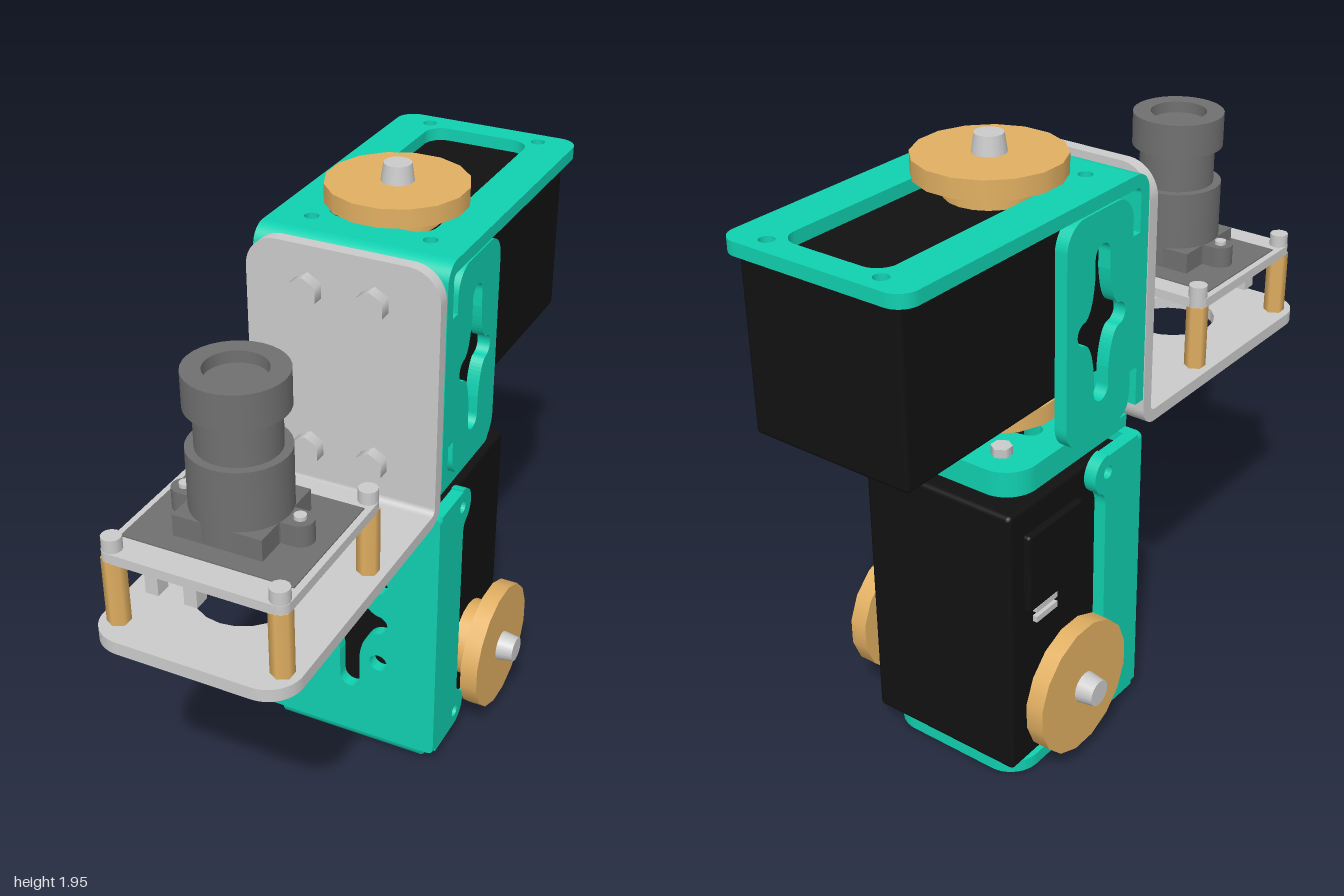
import * as THREE from 'three';
import { RoundedBoxGeometry } from 'three/addons/geometries/RoundedBoxGeometry.js';

const mat = (color) => new THREE.MeshStandardMaterial({ color });
const green = mat(0x10d0b0), black = mat(0x111111), brass = mat(0xe2b062);
const grey = mat(0xcccccc), dark = mat(0x707070);
const CX = -0.015; // centre line of the body

function add(parent, name, geometry, material, x = 0, y = 0, z = 0) {
  const m = new THREE.Mesh(geometry, material);
  m.name = name;
  m.position.set(x, y, z);
  parent.add(m);
  return m;
}

// Box given by its minimum and maximum corners
function block(parent, name, material, a, b, r = 0) {
  const s = a.map((v, i) => b[i] - v), c = a.map((v, i) => (b[i] + v) / 2);
  return add(parent, name, r ? new RoundedBoxGeometry(...s, 2, r) : new THREE.BoxGeometry(...s), material, ...c);
}

// Cylinder along y (or z) from one end to the other
function rod(parent, name, material, r, x, z, y0, y1, sides = 20) {
  return add(parent, name, new THREE.CylinderGeometry(r, r, y1 - y0, sides), material, x, (y0 + y1) / 2, z);
}
function rodZ(parent, name, material, r, x, y, z0, z1, sides = 20) {
  const g = new THREE.CylinderGeometry(r, r, z1 - z0, sides).rotateX(Math.PI / 2);
  return add(parent, name, g, material, x, y, (z0 + z1) / 2);
}

// Rectangle with radii at the low-left, low-right, high-right, high-left corners
function rect(x0, y0, x1, y1, [a, b, c, d], S = THREE.Shape) {
  const s = new S(), q = Math.PI / 2;
  s.moveTo(x0 + a, y0);
  s.lineTo(x1 - b, y0);
  if (b) s.absarc(x1 - b, y0 + b, b, -q, 0);
  s.lineTo(x1, y1 - c);
  if (c) s.absarc(x1 - c, y1 - c, c, 0, q);
  s.lineTo(x0 + d, y1);
  if (d) s.absarc(x0 + d, y1 - d, d, q, 2 * q);
  s.lineTo(x0, y0 + a);
  if (a) s.absarc(x0 + a, y0 + a, a, 2 * q, 3 * q);
  return s;
}

const hole = (x, y, r) => new THREE.Path().absarc(x, y, r, 0, Math.PI * 2);

// Flared cross-shaped slot: half height L, half width H, arm half thickness w
function cross(cx, cy, L, H, w = 0.035) {
  const p = new THREE.Path(), f = Math.min(0.15, L - w);
  const at = (x, y) => [cx + x, cy + y];
  p.moveTo(...at(w, L - w));
  p.absarc(...at(0, L - w), w, 0, Math.PI);
  p.lineTo(...at(-w, f));
  p.quadraticCurveTo(...at(-w * 1.3, w * 1.4), ...at(w - H, w));
  p.absarc(...at(w - H, 0), w, Math.PI / 2, Math.PI * 1.5);
  p.quadraticCurveTo(...at(-w * 1.3, -w * 1.4), ...at(-w, -f));
  p.lineTo(...at(-w, w - L));
  p.absarc(...at(0, w - L), w, Math.PI, Math.PI * 2);
  p.lineTo(...at(w, -f));
  p.quadraticCurveTo(...at(w * 1.3, -w * 1.4), ...at(H - w, -w));
  p.absarc(...at(H - w, 0), w, -Math.PI / 2, Math.PI / 2);
  p.quadraticCurveTo(...at(w * 1.3, w * 1.4), ...at(w, f));
  return p;
}

// Sheet whose high face lies at `top` on the axis; drawn as (x,y), (x,z) or (z,y)
function sheet(parent, name, material, shape, axis, top, holes = [], t = 0.04) {
  shape.holes.push(...holes);
  const g = new THREE.ExtrudeGeometry(shape, { depth: t, bevelEnabled: false, curveSegments: 10 });
  if (axis === 'z') g.translate(0, 0, top - t);
  if (axis === 'y') g.rotateX(Math.PI / 2).translate(0, top, 0);
  if (axis === 'x') g.rotateY(-Math.PI / 2).translate(top, 0, 0);
  return add(parent, name, g, material);
}

// Quarter-round sheet bend running along x, with its axis at (z, y)
function bend(parent, name, material, x0, x1, z, y, start) {
  const s = new THREE.Shape(), a = start * Math.PI / 2, b = a + Math.PI / 2;
  s.absarc(z, y, 0.06, a, b, false);
  s.absarc(z, y, 0.02, b, a, true);
  return sheet(parent, name, material, s, 'x', x1, [], x1 - x0);
}

// Round servo horn with hub and bolt, pointing along local +y
function horn(parent, name, x, y, z, rotZ, hub) {
  const g = new THREE.Group();
  g.name = name;
  g.position.set(x, y, z);
  g.rotation.z = rotZ;
  rod(g, 'hornHub', brass, 0.13, 0, 0, -hub, 0);
  rod(g, 'hornDisc', brass, 0.216, 0, 0, 0, 0.058, 16).rotation.y = Math.PI / 16;
  add(g, 'hornBolt', new THREE.CylinderGeometry(0.042, 0.05, 0.055, 16), grey, 0, 0.085, 0);
  parent.add(g);
}

const four = (dx, dy, cx, cy) => [[-1, -1], [1, -1], [1, 1], [-1, 1]].map(([a, b]) => [cx + a * dx, cy + b * dy]);

// Square flange with cross slot and four holes
function flange(parent, name, top, zFront) {
  sheet(parent, name, green, rect(-0.27, -0.53, 0.24, zFront, [0.1, 0.1, 0, 0]), 'y', top,
    [cross(CX, -0.28, 0.13, 0.16), ...four(0.14, 0.155, CX, -0.28).map(([x, z]) => hole(x, z, 0.025))]);
}

function lowerUnit() {
  const g = new THREE.Group();
  g.name = 'lowerServoUnit';
  block(g, 'servoBody', black, [-0.28, 0.07, -0.565], [0.25, 0.97, -0.03], 0.015);
  block(g, 'servoRearCover', black, [-0.30, 0.62, -0.5], [-0.27, 0.88, -0.24], 0.01);
  for (const dy of [0, 0.035]) block(g, 'servoSocket', grey, [-0.295, 0.565 + dy, -0.46], [-0.275, 0.585 + dy, -0.36]);
  // Front plate, flanges and side strips with rounded screw tabs
  sheet(g, 'frontPlate', green, rect(-0.32, 0.05, 0.29, 0.985, [0.02, 0.02, 0.02, 0.02]), 'z', 0.03,
    [cross(CX, 0.52, 0.285, 0.135), ...four(0.103, 0.155, CX, 0.52).map(([x, y]) => hole(x, y, 0.031))]);
  bend(g, 'bottomBend', green, -0.27, 0.24, -0.03, 0.06, 3);
  flange(g, 'bottomFlange', 0.04, -0.03);
  flange(g, 'topFlange', 1.035, 0.02);
  for (const x of [-0.28, 0.29]) {
    const s = new THREE.Shape();
    s.moveTo(0.01, 0.05);
    s.lineTo(0.01, 0.985);
    s.lineTo(-0.145, 0.985);
    s.absarc(-0.145, 0.925, 0.065, Math.PI / 2, Math.PI * 1.3);
    s.quadraticCurveTo(-0.155, 0.86, -0.155, 0.82);
    s.lineTo(-0.155, 0.22);
    s.quadraticCurveTo(-0.155, 0.18, -0.183, 0.165);
    s.absarc(-0.145, 0.115, 0.065, Math.PI * 0.7, Math.PI * 1.5);
    sheet(g, 'sideStrip', green, s, 'x', x, [hole(-0.145, 0.93, 0.021), hole(-0.145, 0.105, 0.021)]);
  }
  horn(g, 'hornA', 0.317, 0.285, -0.33, -Math.PI / 2, 0.08);
  horn(g, 'hornB', -0.317, 0.285, -0.33, Math.PI / 2, 0.05);
  return g;
}

function upperUnit() {
  const g = new THREE.Group();
  g.name = 'upperServoUnit';
  block(g, 'servoBody', black, [-0.28, 1.25, -0.97], [0.25, 1.775, -0.06], 0.015);
  block(g, 'servoRearCover', black, [-0.22, 1.222, -0.9], [0.19, 1.26, -0.65], 0.01);
  for (const dz of [0, 0.04]) block(g, 'servoSocket', grey, [-0.07, 1.235, -0.6 + dz], [0.04, 1.255, -0.58 + dz]);
  // Top frame with window, back wall, bottom flange
  sheet(g, 'topFrame', green, rect(-0.32, -1, 0.29, -0.03, [0.06, 0.06, 0, 0]), 'y', 1.815,
    [rect(-0.185, -0.92, 0.155, -0.14, [0.06, 0.06, 0.06, 0.06], THREE.Path),
      ...four(0.188, 0.415, CX, -0.525).map(([x, z]) => hole(x, z, 0.022))]);
  bend(g, 'topBend', green, -0.32, 0.29, -0.03, 1.755, 0);
  sheet(g, 'frontWall', green, rect(-0.32, 1.095, 0.29, 1.755, [0, 0, 0, 0]), 'z', 0.03, [cross(CX, 1.43, 0.24, 0.135)]);
  bend(g, 'bottomBend', green, -0.27, 0.24, -0.03, 1.095, 3);
  flange(g, 'bottomFlange', 1.075, -0.03);
  // Slotted side cheeks joined to the wall by a narrow web
  for (const x of [-0.28, 0.29]) {
    sheet(g, 'sideCheek', green, rect(-0.355, 1.08, -0.045, 1.77, [0.08, 0.08, 0.08, 0.08]), 'x', x, [cross(-0.19, 1.43, 0.24, 0.115)]);
    block(g, 'cheekWeb', green, [x - 0.04, 1.22, -0.05], [x, 1.64, 0.02]);
  }
  for (const [x, z] of four(0.14, 0.155, CX, -0.28)) rod(g, 'flangeBolt', grey, 0.032, x, z, 1.03, 1.102, 6);
  horn(g, 'hornTop', CX, 1.835, -0.29, 0, 0.07);
  horn(g, 'hornBottom', CX, 1.203, -0.29, Math.PI, 0.05);
  return g;
}

function cameraMount() {
  const g = new THREE.Group();
  g.name = 'cameraMount';
  const posts = four(0.25, 0.25, CX, 0.66);
  sheet(g, 'mountWall', grey, rect(-0.32, 1.055, 0.29, 1.815, [0, 0, 0.1, 0.1]), 'z', 0.075);
  bend(g, 'mountBend', grey, -0.32, 0.29, 0.095, 1.055, 2);
  sheet(g, 'mountFloor', grey, rect(-0.32, 0.095, 0.29, 1, [0, 0, 0.1, 0.1]), 'y', 1.035, [hole(CX, 0.66, 0.145)]);
  for (const [x, y] of four(0.105, 0.26, CX, 1.425)) {
    rodZ(g, 'mountBolt', grey, 0.048, x, y, 0.07, 0.115, 6);
    rodZ(g, 'mountNut', grey, 0.048, x, y, -0.05, -0.005, 6);
    rodZ(g, 'boltShank', grey, 0.025, x, y, -0.055, 0.1);
  }
  for (const [x, z] of posts) {
    rod(g, 'standoff', brass, 0.034, x, z, 1.035, 1.243, 6);
    rod(g, 'standoffScrew', grey, 0.029, x, z, 0.98, 1.31, 12);
  }
  // Circuit board, dark area and connector underneath
  sheet(g, 'circuitBoard', grey, rect(-0.295, 0.385, 0.265, 0.94, [0.03, 0.03, 0.03, 0.03]), 'y', 1.27, [], 0.03);
  block(g, 'boardArea', dark, [-0.275, 1.262, 0.455], [0.245, 1.274, 0.855]);
  block(g, 'connector', grey, [-0.2, 1.2, 0.82], [-0.04, 1.245, 0.87]);
  for (const x of [-0.2, -0.08]) block(g, 'connectorLeg', grey, [x, 1.12, 0.82], [x + 0.04, 1.2, 0.87]);
  // Lens holder with screw ears
  block(g, 'lensHolder', dark, [CX - 0.135, 1.27, 0.525], [CX + 0.135, 1.34, 0.795]);
  block(g, 'holderEars', dark, [CX - 0.175, 1.27, 0.62], [CX + 0.175, 1.34, 0.70]);
  for (const s of [-1, 1]) {
    rod(g, 'holderEar', dark, 0.04, CX + s * 0.175, 0.66, 1.27, 1.34);
    rod(g, 'earScrew', grey, 0.018, CX + s * 0.175, 0.66, 1.235, 1.352, 12);
  }
  // Stepped barrel: one lathe per step keeps its edges sharp
  const ring = (name, r, y0, y1, inner = 0) => {
    const pts = [[inner, y0], [r, y0], [r, y0], [r, y1], [r, y1], [inner, y1]];
    if (inner) pts.push([inner, y1], [inner, y0]);
    add(g, name, new THREE.LatheGeometry(pts.map((p) => new THREE.Vector2(...p)), 32), dark, CX, 0, 0.66);
  };
  ring('lensBase', 0.143, 1.28, 1.52);
  ring('lensNeck', 0.118, 1.5, 1.66);
  ring('lensRim', 0.143, 1.64, 1.745, 0.088);
  rod(g, 'lensGlass', dark, 0.09, CX, 0.66, 1.65, 1.71, 32);
  return g;
}

export function createModel() {
  const model = new THREE.Group();
  model.name = 'panTiltCamera';
  model.add(lowerUnit(), upperUnit(), cameraMount());
  return model;
}
